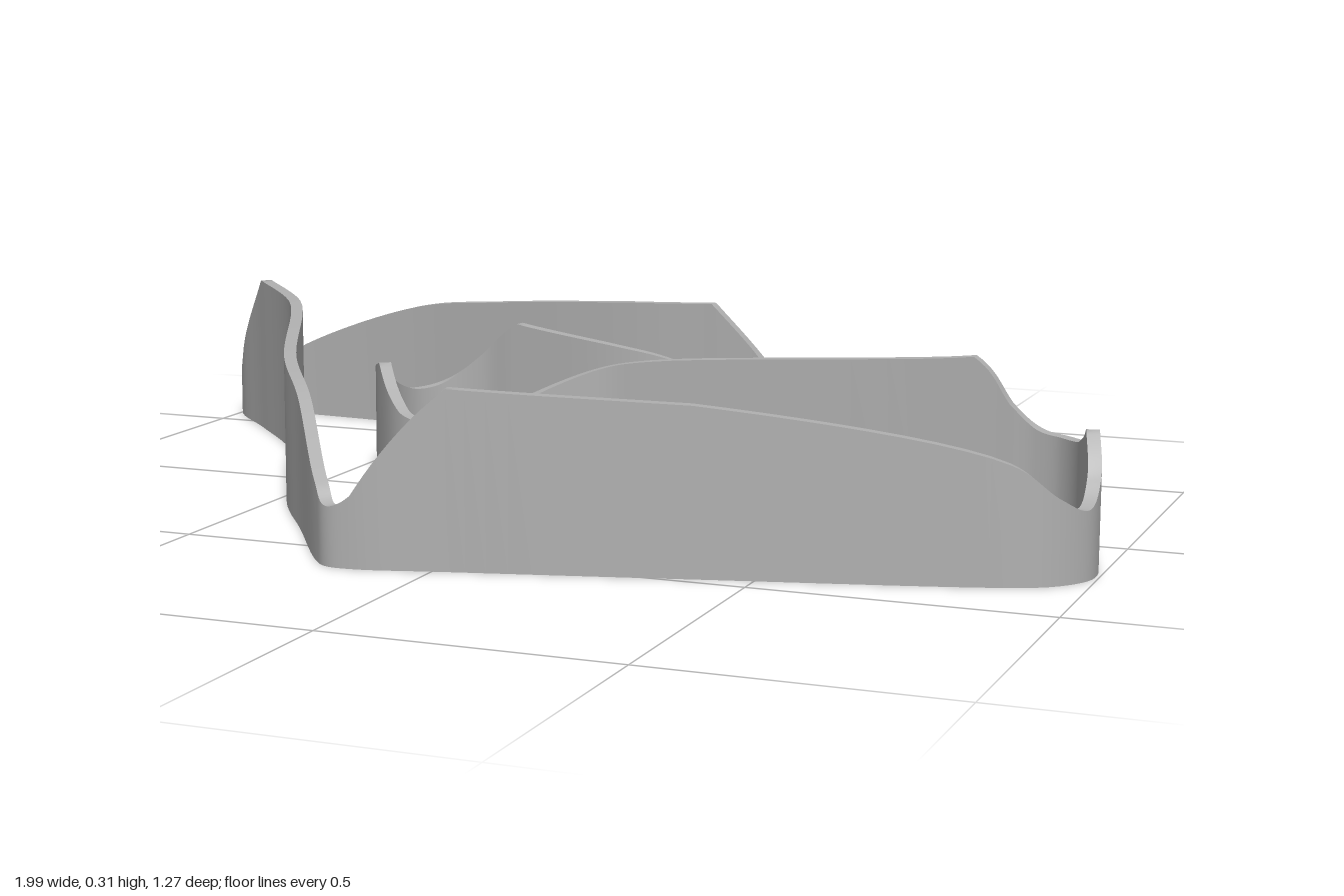
import * as THREE from 'three';

// Centre line of the circuit as [x, z, wall height], anticlockwise from above
const PATH = [
  [-0.13, 0.615, 0.12], [0.02, 0.575, 0.298], [0.4, 0.472, 0.28],
  [0.88, 0.335, 0.195], [0.945, 0.298, 0.14], [0.978, 0.25, 0.115], [0.982, 0.2, 0.155],
  [0.963, 0.13, 0.222], [0.922, -0.005, 0.175], [0.88, -0.05, 0.172],
  [0.83, -0.067, 0.18], [0.78, -0.07, 0.22], [0.715, -0.07, 0.298],
  [0.13, -0.046, 0.257], [0.04, -0.034, 0.24], [-0.06, 0.02, 0.198],
  [-0.11, 0.075, 0.165], [-0.21, 0.125, 0.15], [-0.28, 0.11, 0.162],
  [-0.36, 0.025, 0.235], [-0.42, -0.085, 0.205], [-0.443, -0.18, 0.16],
  [-0.43, -0.25, 0.14], [-0.39, -0.295, 0.15], [-0.315, -0.315, 0.205], [-0.235, -0.302, 0.27],
  [-0.03, -0.272, 0.245], [0.07, -0.285, 0.225], [0.17, -0.335, 0.18],
  [0.235, -0.4, 0.125], [0.268, -0.46, 0.075], [0.262, -0.492, 0.085], [0.23, -0.511, 0.13],
  [0.08, -0.522, 0.297], [-0.09, -0.53, 0.29], [-0.4, -0.575, 0.268],
  [-0.6, -0.607, 0.243], [-0.88, -0.627, 0.14], [-0.955, -0.622, 0.085],
  [-0.988, -0.598, 0.07], [-0.97, -0.56, 0.13], [-0.86, -0.444, 0.305],
  [-0.68, -0.23, 0.298], [-0.455, 0.21, 0.263], [-0.335, 0.385, 0.228],
  [-0.2, 0.585, 0.13], [-0.17, 0.613, 0.1],
];
const STEPS = 10;
const HALF_WIDTH = 0.011;

// Four smooth strips (outer, top, inner, bottom) with sharp edges between them
function ribbonWall() {
  const n = PATH.length, count = n * STEPS;
  const curve = new THREE.CatmullRomCurve3(
    PATH.map(([x, z, h]) => new THREE.Vector3(x, h, z)), true, 'centripetal');
  const height = (i) => PATH[(i + n) % n][2];
  const isCrest = (i) => height(i) > height(i - 1) && height(i) > height(i + 1);

  const rings = [];
  for (let k = 0; k < count; k++) {
    const i = Math.floor(k / STEPS), f = (k % STEPS) / STEPS, t = k / count;
    const p = curve.getPoint(t);
    const d = curve.getPoint((t + 0.0005) % 1).sub(curve.getPoint((t + 0.9995) % 1));
    const len = Math.hypot(d.x, d.z);
    const ox = -d.z / len * HALF_WIDTH, oz = d.x / len * HALF_WIDTH;
    // straight slopes next to a crest keep its tip sharp
    const y = isCrest(i) || isCrest(i + 1)
      ? THREE.MathUtils.lerp(height(i), height(i + 1), f) : p.y;
    rings.push([
      [p.x + ox, 0, p.z + oz], [p.x + ox, y, p.z + oz],
      [p.x - ox, y, p.z - oz], [p.x - ox, 0, p.z - oz],
    ]);
  }

  const positions = [], index = [];
  for (let s = 0; s < 4; s++) {
    const base = positions.length / 3;
    for (const ring of rings) positions.push(...ring[s], ...ring[(s + 1) % 4]);
    for (let k = 0; k < count; k++) {
      const a = base + k * 2, b = base + ((k + 1) % count) * 2;
      index.push(a, b, a + 1, b, b + 1, a + 1);
    }
  }
  const geometry = new THREE.BufferGeometry();
  geometry.setAttribute('position', new THREE.Float32BufferAttribute(positions, 3));
  geometry.setIndex(index);
  geometry.computeVertexNormals();
  return geometry;
}

export function createModel() {
  const group = new THREE.Group();
  group.name = 'circuitRibbon';
  const grey = new THREE.MeshStandardMaterial({ color: 0xb0b0b0 });
  grey.name = 'grey';
  const wall = new THREE.Mesh(ribbonWall(), grey);
  wall.name = 'circuitWall';
  group.add(wall);
  return group;
}
